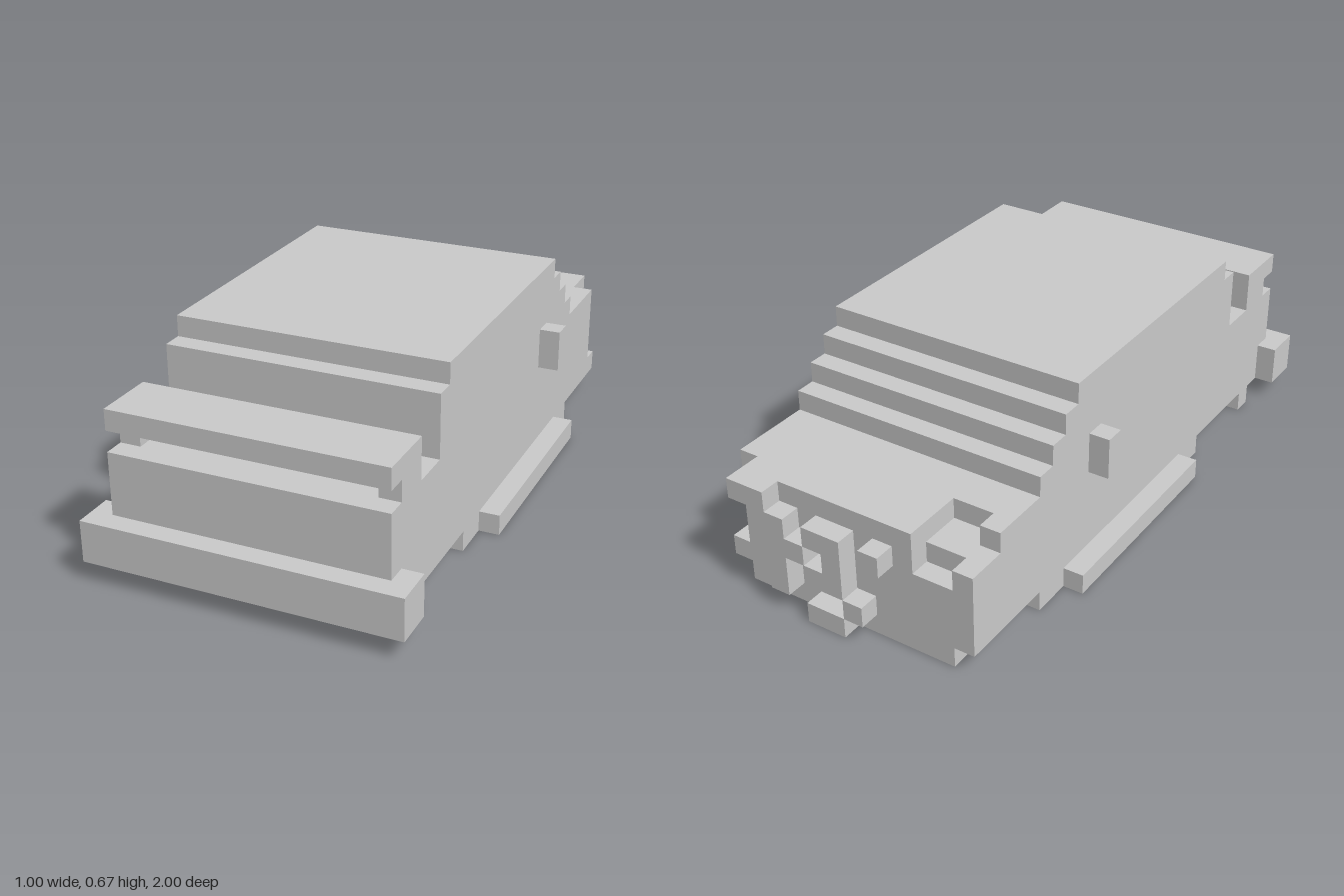
import * as THREE from 'three';

const U = 1 / 15; // one block of the grid
const material = new THREE.MeshStandardMaterial({ color: 0xcccccc, flatShading: true });

// Block given by its limits in grid units
function block(parent, name, [x0, x1], [y0, y1], [z0, z1]) {
  const geo = new THREE.BoxGeometry((x1 - x0) * U, (y1 - y0) * U, (z1 - z0) * U);
  geo.translate((x0 + x1) * U / 2, (y0 + y1) * U / 2, (z0 + z1) * U / 2);
  const mesh = new THREE.Mesh(geo, material);
  mesh.name = name;
  parent.add(mesh);
}

// Lengthwise body slice: shared stepped cabin outline, with its own hood end
const cabin = [[14, 1], [14, 6], [9, 6], [9, 9], [8, 9], [8, 10], [-6, 10], [-6, 9],
  [-7, 9], [-7, 8], [-8, 8], [-8, 7], [-9, 7], [-9, 6]];
function bodySlice(parent, name, x0, x1, hoodEnd) {
  const outline = [...cabin, ...hoodEnd, [-14, 1]];
  const shape = new THREE.Shape(outline.map(([z, y]) => new THREE.Vector2(-z * U, y * U)));
  const geo = new THREE.ExtrudeGeometry(shape, { depth: (x1 - x0) * U, bevelEnabled: false });
  geo.rotateY(Math.PI / 2).translate(x0 * U, 0, 0);
  const mesh = new THREE.Mesh(geo, material);
  mesh.name = name;
  parent.add(mesh);
}

export function createModel() {
  const model = new THREE.Group();
  model.name = 'blockCar';

  // Body with the hood's broken corners
  const body = new THREE.Group();
  body.name = 'body';
  bodySlice(body, 'rightBodySide', -6.5, -5.5, [[-12, 6], [-12, 5], [-14, 5]]);
  bodySlice(body, 'dentedHoodSlice', -5.5, -3.5, [[-11, 6], [-11, 5], [-13, 5], [-13, 4], [-14, 4]]);
  bodySlice(body, 'mainBody', -3.5, 5.5, [[-14, 6]]);
  bodySlice(body, 'leftBodySide', 5.5, 6.5, [[-13, 6], [-13, 2], [-14, 2]]);
  model.add(body);

  // Floor, leaving wheel recesses along the sides
  block(model, 'floor', [-5.5, 5.5], [0, 1], [-14, 12]);

  // Parts on both sides
  for (const s of [1, -1]) {
    const side = (a, b) => (s > 0 ? [a, b] : [-b, -a]);
    block(model, 'sill', side(5.5, 6.5), [0, 1], [-9, 6]);
    block(model, 'sillEnd', side(5.5, 6.5), [0, 1], [11, 12]);
    block(model, 'sideStep', side(6.5, 7.5), [0, 1], [-7, 4]);
    block(model, 'mirror', side(6.5, 7.5), [5, 7], [-5, -4]);
    block(model, 'spoilerPost', side(5.5, 6.5), [6, 7], [11, 13]);
  }

  // Spoiler and wide bumper
  block(model, 'spoiler', [-6.5, 6.5], [7, 8], [11, 14]);
  block(model, 'bumper', [-7.5, 7.5], [1, 3], [13, 15]);

  // Raised blocks on the hood end: [x range, y range]
  const grille = new THREE.Group();
  grille.name = 'grille';
  const pieces = [
    [[3.5, 5.5], [5, 6]], [[3.5, 4.5], [3, 5]], [[2.5, 3.5], [1, 5]], [[1.5, 2.5], [3, 4]],
    [[-0.5, 1.5], [4, 5]], [[-0.5, 0.5], [3, 4]], [[-0.5, 1.5], [2, 3]],
    [[-0.5, 1.5], [0, 1]], [[-1.5, -0.5], [1, 2]], [[-2.5, -1.5], [4, 5]],
  ];
  for (const [x, y] of pieces) block(grille, 'grilleBlock', x, y, [-15, -14]);
  model.add(grille);

  return model;
}
